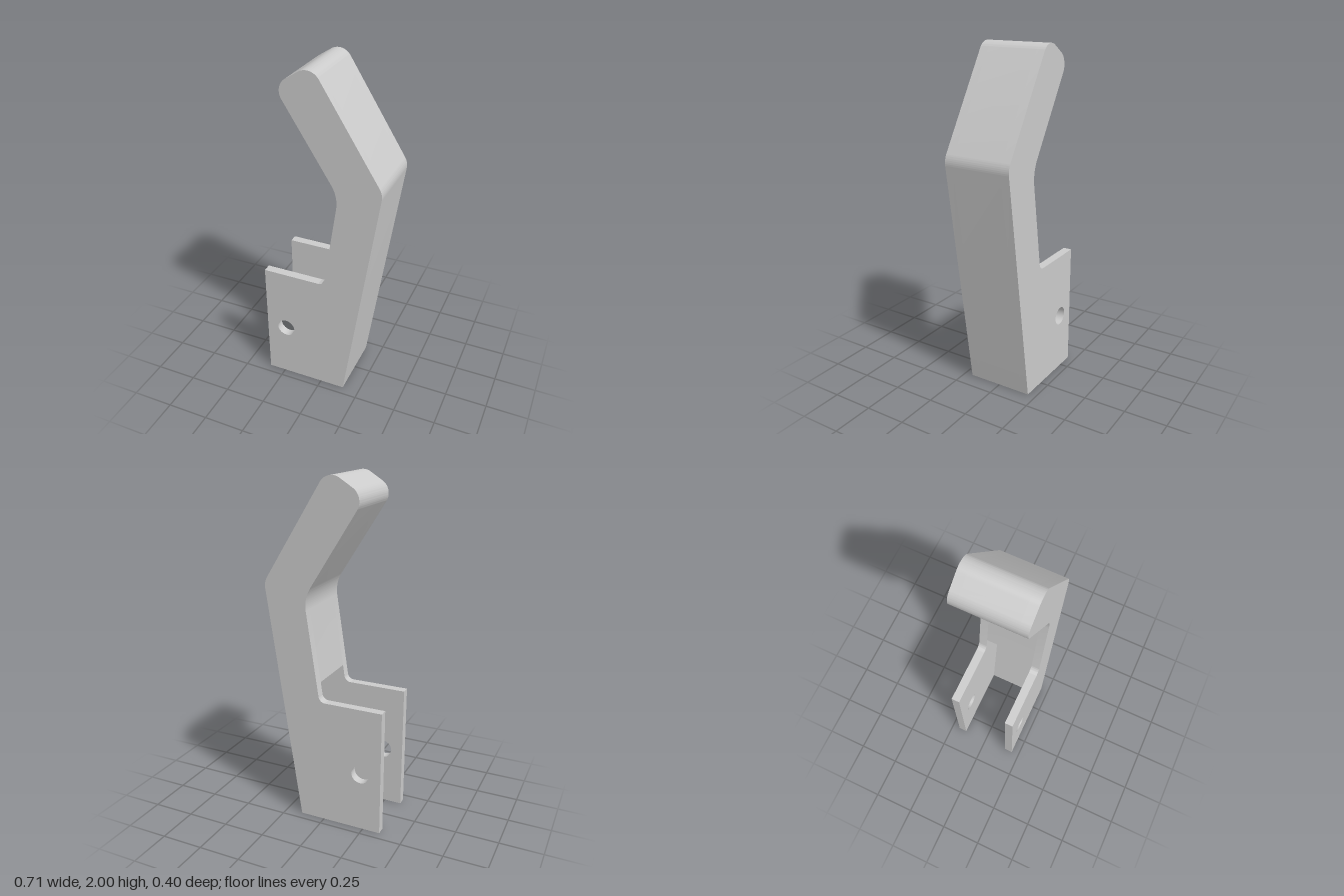
import * as THREE from 'three';
import { toCreasedNormals } from 'three/addons/utils/BufferGeometryUtils.js';

// Closed outline from [x, y, filletRadius] corners
function roundedShape(corners) {
  const shape = new THREE.Shape();
  const n = corners.length;
  corners.forEach(([x, y, r], i) => {
    const p = new THREE.Vector2(x, y);
    if (!r) {
      if (i === 0) shape.moveTo(x, y);
      else shape.lineTo(x, y);
      return;
    }
    const [ax, ay] = corners[(i + n - 1) % n];
    const [bx, by] = corners[(i + 1) % n];
    const a = new THREE.Vector2(ax, ay).sub(p).normalize();
    const b = new THREE.Vector2(bx, by).sub(p).normalize();
    const half = Math.acos(a.dot(b)) / 2;
    const c = a.clone().add(b).normalize().multiplyScalar(r / Math.sin(half)).add(p);
    const s = a.clone().multiplyScalar(r / Math.tan(half)).add(p).sub(c);
    const e = b.clone().multiplyScalar(r / Math.tan(half)).add(p).sub(c);
    shape.absarc(c.x, c.y, r, s.angle(), e.angle(), s.cross(e) < 0);
  });
  return shape;
}

// Extrusion between two z planes, optionally without its end caps
function slab(shape, z0, z1, caps = true) {
  let geo = new THREE.ExtrudeGeometry(shape, { depth: z1 - z0, bevelEnabled: false, curveSegments: 14 });
  if (!caps) {
    const { start, count } = geo.groups[1];
    for (const key of Object.keys(geo.attributes)) {
      const at = geo.attributes[key];
      const k = at.itemSize;
      geo.setAttribute(key, new THREE.BufferAttribute(at.array.slice(start * k, (start + count) * k), k));
    }
  }
  geo.clearGroups();
  geo.translate(0, 0, z0);
  return toCreasedNormals(geo, 0.4);
}

export function createModel() {
  const group = new THREE.Group();
  const material = new THREE.MeshStandardMaterial({ color: 0xcccccc });
  const add = (name, geo) => {
    const mesh = new THREE.Mesh(geo, material);
    mesh.name = name;
    group.add(mesh);
  };

  const half = 0.2, wall = 0.05, slotTop = 0.855, lean = 0.1475;
  const innerX = (y) => -0.087 + lean * y;
  // Bent upper arm, shared by the side plates and the core
  const arm = [
    [0.148, 0],
    [0.356, 1.412, 0.1],
    [-0.033, 2.03, 0.08],
    [-0.239, 1.9, 0.08],
    [innerX(1.345), 1.345, 0.2],
  ];

  // Side plates with the pivot hole
  const plate = roundedShape([[-0.354, 0], ...arm, [innerX(0.752), 0.752, 0.04], [-0.354, 0.752]]);
  const hole = new THREE.Path();
  hole.absarc(-0.23, 0.353, 0.055, 0, Math.PI * 2, true);
  plate.holes.push(hole);
  add('frontSidePlate', slab(plate, half - wall, half));
  add('backSidePlate', slab(plate, -half, wall - half));

  // Solid arm core continuing down as the thin wall behind the slot
  const core = roundedShape([
    [0.148 - wall, 0],
    ...arm,
    [innerX(slotTop), slotTop],
    [0.148 - wall + lean * slotTop, slotTop],
  ]);
  add('armCore', slab(core, wall - half, half - wall, false));

  return group;
}
